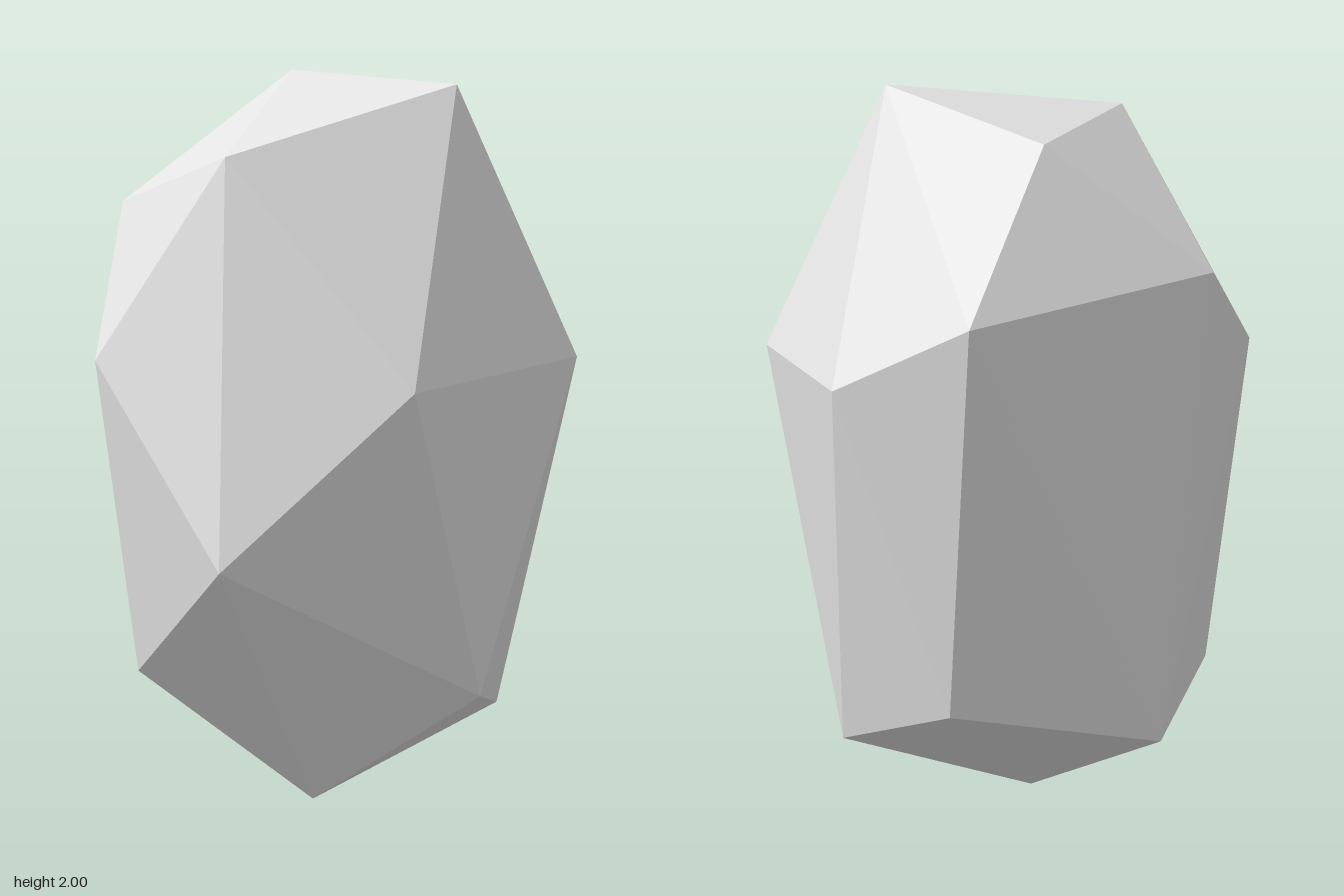
import * as THREE from 'three';
import { ConvexGeometry } from 'three/addons/geometries/ConvexGeometry.js';

export function createModel() {
  const model = new THREE.Group();
  model.name = 'rock';

  const stone = new THREE.MeshStandardMaterial({ color: 0xe5e5e5 });
  stone.name = 'pale stone';

  // Corners of the faceted boulder, in rings from top to bottom
  const corners = [
    // crown
    [0.26, 2.0, 0.22], [-0.465, 1.875, 0.165], [0.12, 1.935, -0.405],
    // shoulder
    [-0.29, 1.57, -0.63], [0.44, 1.47, -0.54],
    // waist
    [-0.14, 1.255, 0.63], [0.5, 1.245, 0.46], [0.668, 1.255, -0.18],
    [-0.67, 1.255, -0.18], [-0.6, 0.745, 0.345],
    // foot
    [-0.545, 0.365, -0.153], [0.128, 0.345, 0.545], [0.425, 0.348, -0.41],
    [-0.16, 0.245, -0.563], [0.467, 0.198, 0.1], [-0.135, 0, 0.1],
  ].map((p) => new THREE.Vector3(...p));

  // Convex hull has one normal per face, which keeps the facets flat
  const boulder = new THREE.Mesh(new ConvexGeometry(corners), stone);
  boulder.name = 'boulder';
  model.add(boulder);
  return model;
}
